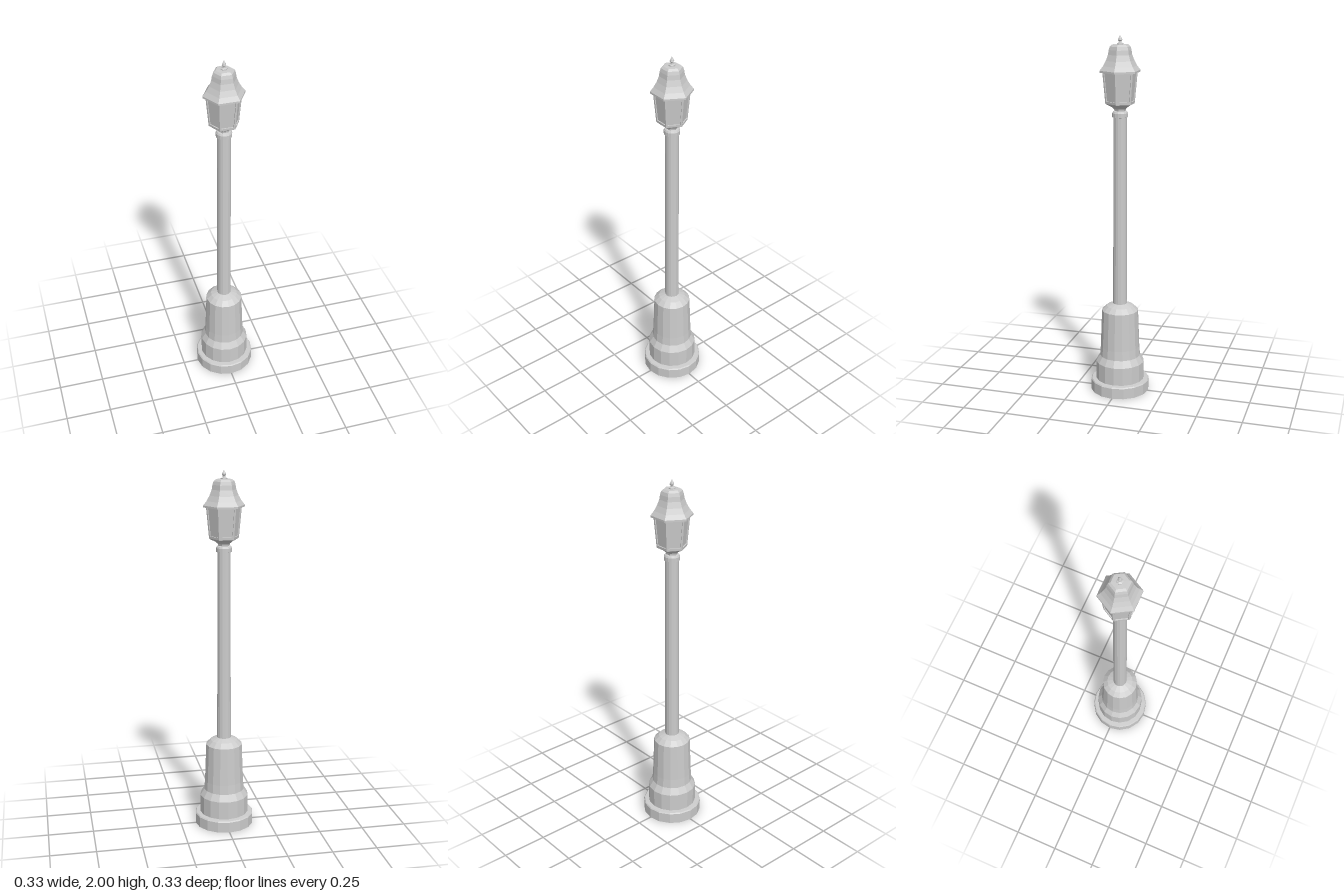
import * as THREE from 'three';

const metal = new THREE.MeshStandardMaterial({ color: 0xcccccc, flatShading: true, side: THREE.DoubleSide });

export function createModel() {
  const lamp = new THREE.Group();
  lamp.name = 'streetLamp';

  // Turned part from [radius, height] pairs; a corner always lies on the x axis
  function turned(name, sides, profile, parent = lamp) {
    const points = profile.map(([r, y]) => new THREE.Vector2(r, y));
    const mesh = new THREE.Mesh(new THREE.LatheGeometry(points, sides, Math.PI / 2), metal);
    mesh.name = name;
    parent.add(mesh);
    return mesh;
  }

  // Hollow stepped pedestal, open underneath
  turned('foot', 16, [[0.165, 0], [0.165, 0.06], [0.16, 0.066], [0.136, 0.068]]);
  turned('pedestal', 16, [
    [0.136, 0.068], [0.136, 0.17], [0.114, 0.207], [0.11, 0.26],
    [0.102, 0.475], [0.075, 0.5], [0.038, 0.515],
  ]);

  // Slightly tapering pole with its collar
  turned('pole', 16, [[0.039, 0.51], [0.036, 1.58]]);
  turned('collar', 16, [
    [0.036, 1.565], [0.043, 1.567], [0.043, 1.588], [0.038, 1.597], [0.028, 1.6], [0, 1.6],
  ]);

  // Six-sided lantern
  const lantern = new THREE.Group();
  lantern.name = 'lantern';
  lamp.add(lantern);
  turned('lanternCup', 6, [
    [0.03, 1.595], [0.033, 1.61], [0.048, 1.622], [0.078, 1.637], [0.081, 1.645], [0, 1.645],
  ], lantern);
  turned('glass', 6, [[0.073, 1.642], [0.09, 1.81]], lantern);

  // One tapering window frame per side
  const bottomR = 0.081, topR = 0.097, low = 1.64, high = 1.812;
  const apothem = Math.cos(Math.PI / 6);
  const lean = (topR - bottomR) * apothem;
  const slant = Math.hypot(high - low, lean);
  const outline = (inset, bottom, top) => {
    const half = (y) => (bottomR + (topR - bottomR) * y / slant) / 2 - inset;
    return [[-half(bottom), bottom], [half(bottom), bottom], [half(top), top], [-half(top), top]]
      .map(([x, y]) => new THREE.Vector2(x, y));
  };
  const frameShape = new THREE.Shape(outline(0, 0, slant));
  frameShape.holes.push(new THREE.Path(outline(0.009, 0.012, slant - 0.012)));
  const frameGeometry = new THREE.ExtrudeGeometry(frameShape, { depth: 0.006, bevelEnabled: false });
  frameGeometry.translate(0, 0, -0.006);
  frameGeometry.rotateX(Math.atan2(lean, high - low));
  frameGeometry.translate(0, low, bottomR * apothem);
  for (let i = 0; i < 6; i++) {
    const frame = new THREE.Mesh(frameGeometry, metal);
    frame.name = 'windowFrame';
    frame.rotation.y = i * Math.PI / 3;
    lantern.add(frame);
  }

  // Bell-shaped roof and spike
  turned('roof', 6, [
    [0, 1.81], [0.097, 1.808], [0.112, 1.805], [0.112, 1.815], [0.094, 1.838], [0.078, 1.866],
    [0.066, 1.897], [0.062, 1.922], [0.056, 1.94], [0.044, 1.95], [0, 1.952],
  ], lantern);
  turned('finial', 6, [
    [0.018, 1.95], [0.018, 1.956], [0.008, 1.96], [0.007, 1.968],
    [0.012, 1.974], [0.009, 1.983], [0, 2],
  ], lantern);

  return lamp;
}
